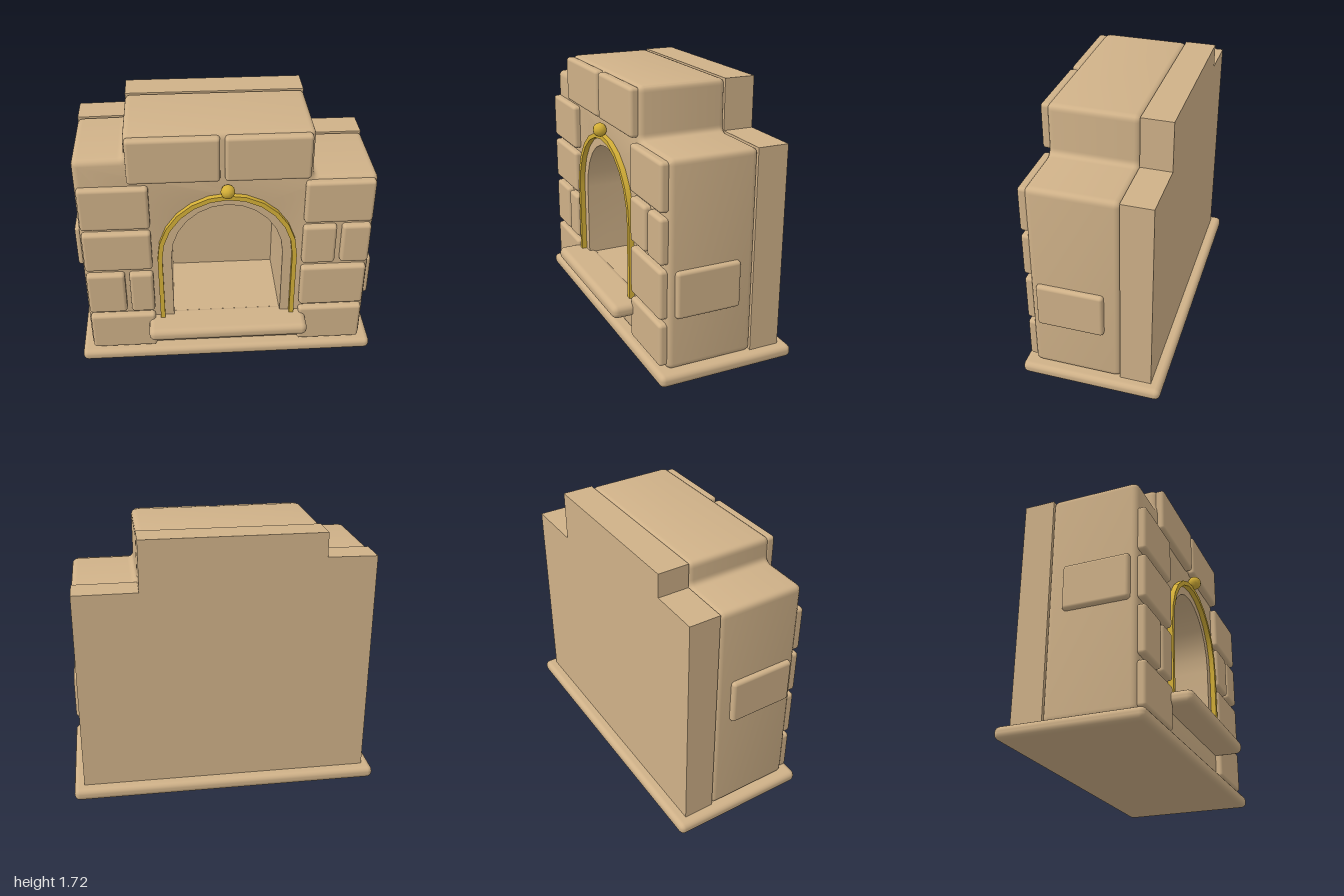
import * as THREE from 'three';
import { toCreasedNormals } from 'three/addons/utils/BufferGeometryUtils.js';
import { RoundedBoxGeometry } from 'three/addons/geometries/RoundedBoxGeometry.js';

const stone = new THREE.MeshStandardMaterial({ color: 0xcfb188 });
stone.name = 'tan stone';
const gold = new THREE.MeshStandardMaterial({ color: 0xd4af37 });
gold.name = 'gold';

const SPRING = 0.83; // height where the arch starts to curve

// Arched outline with straight sides down to y0
function arch(rx, ry, y0) {
  const s = new THREE.Shape();
  s.moveTo(-rx, y0);
  s.lineTo(rx, y0);
  s.lineTo(rx, SPRING);
  s.absellipse(0, SPRING, rx, ry, 0, Math.PI, false);
  return s;
}

// Polygon with each corner rounded by r (r = 0 keeps it sharp)
function polygon(points, r) {
  const s = new THREE.Shape();
  const pts = points.map(([x, y]) => new THREE.Vector2(x, y));
  pts.forEach((p, i) => {
    const toward = (q) => p.clone().add(q.clone().sub(p).setLength(r));
    const a = r ? toward(pts[(i + pts.length - 1) % pts.length]) : p;
    if (i === 0) s.moveTo(a.x, a.y);
    else s.lineTo(a.x, a.y);
    if (r) {
      const b = toward(pts[(i + 1) % pts.length]);
      s.quadraticCurveTo(p.x, p.y, b.x, b.y);
    }
  });
  s.closePath();
  return s;
}

// Extrude between two depths, optionally with a rounded bevel kept inside the outline
function extrude(shape, z0, z1, bevel = 0) {
  const geo = new THREE.ExtrudeGeometry(shape, {
    depth: z1 - z0 - 2 * bevel,
    curveSegments: 6,
    bevelEnabled: bevel > 0,
    bevelSize: bevel,
    bevelThickness: bevel,
    bevelOffset: -bevel,
    bevelSegments: 4,
  });
  geo.translate(0, 0, z0 + bevel);
  return toCreasedNormals(geo, 0.6);
}

export function createModel() {
  const model = new THREE.Group();
  model.name = 'fireplace';

  const add = (name, geo, material = stone) => {
    const mesh = new THREE.Mesh(geo, material);
    mesh.name = name;
    model.add(mesh);
    return mesh;
  };

  // Rounded block given by its extents
  const block = (name, x0, x1, y0, y1, z0, z1, r, seg = 3) => {
    const geo = new RoundedBoxGeometry(x1 - x0, y1 - y0, z1 - z0, seg, r);
    add(name, geo).position.set((x0 + x1) / 2, (y0 + y1) / 2, (z0 + z1) / 2);
  };

  // Base slab and hearth shelf
  block('base', -1, 1, 0, 0.08, -0.51, 0.4, 0.035, 2);
  block('hearthShelf', -0.53, 0.53, 0.25, 0.34, 0.27, 0.51, 0.04, 2);

  // Stepped outline shared by the body and the back wall
  const outline = [
    [-0.935, 0.075], [0.935, 0.075], [0.935, 1.395], [0.53, 1.395],
    [0.53, 1.72], [-0.62, 1.72], [-0.62, 1.565], [-0.935, 1.56],
  ];
  const bodyShape = polygon(outline, 0.04);
  bodyShape.holes.push(arch(0.38, 0.41, 0.3));
  add('body', extrude(bodyShape, -0.245, 0.33, 0.04));
  add('backWall', extrude(polygon(outline, 0), -0.44, -0.24));

  // Lining of the fire opening
  const lining = arch(0.44, 0.465, 0.25);
  lining.holes.push(arch(0.36, 0.39, 0.33));
  add('openingLining', extrude(lining, -0.241, 0.331));

  // Gold arch trim: an open band ending behind the shelf
  const trim = new THREE.Shape();
  trim.moveTo(0.45, 0.3);
  trim.lineTo(0.45, SPRING);
  trim.absellipse(0, SPRING, 0.45, 0.475, 0, Math.PI, false);
  trim.lineTo(-0.45, 0.3);
  trim.lineTo(-0.42, 0.3);
  trim.lineTo(-0.42, SPRING);
  trim.absellipse(0, SPRING, 0.42, 0.445, Math.PI, 0, true);
  trim.lineTo(0.42, 0.3);
  add('archTrim', extrude(trim, 0.32, 0.365), gold);
  add('trimBall', new THREE.SphereGeometry(0.045, 12, 8), gold).position.set(0, 1.34, 0.37);

  // Front stones: x0, x1, y0, y1
  const stones = [
    [-0.92, -0.485, 1.08, 1.38], [-0.92, -0.485, 0.76, 1.05],
    [-0.92, -0.67, 0.41, 0.725], [-0.64, -0.485, 0.41, 0.725],
    [-0.92, -0.485, 0.1, 0.38],
    [0.485, 0.92, 1.08, 1.38], [0.485, 0.7, 0.76, 1.05],
    [0.735, 0.92, 0.76, 1.05], [0.485, 0.915, 0.41, 0.725],
    [0.485, 0.915, 0.1, 0.38],
    [-0.61, -0.045, 1.41, 1.71], [-0.015, 0.51, 1.41, 1.71],
  ];
  stones.forEach((s, i) => block(`frontStone${i + 1}`, ...s, 0.31, 0.375, 0.022));

  // One stone on each side
  block('leftSideStone', 0.9, 0.967, 0.42, 0.72, -0.14, 0.285, 0.022);
  block('rightSideStone', -0.967, -0.9, 0.755, 1.05, -0.14, 0.285, 0.022);

  return model;
}
